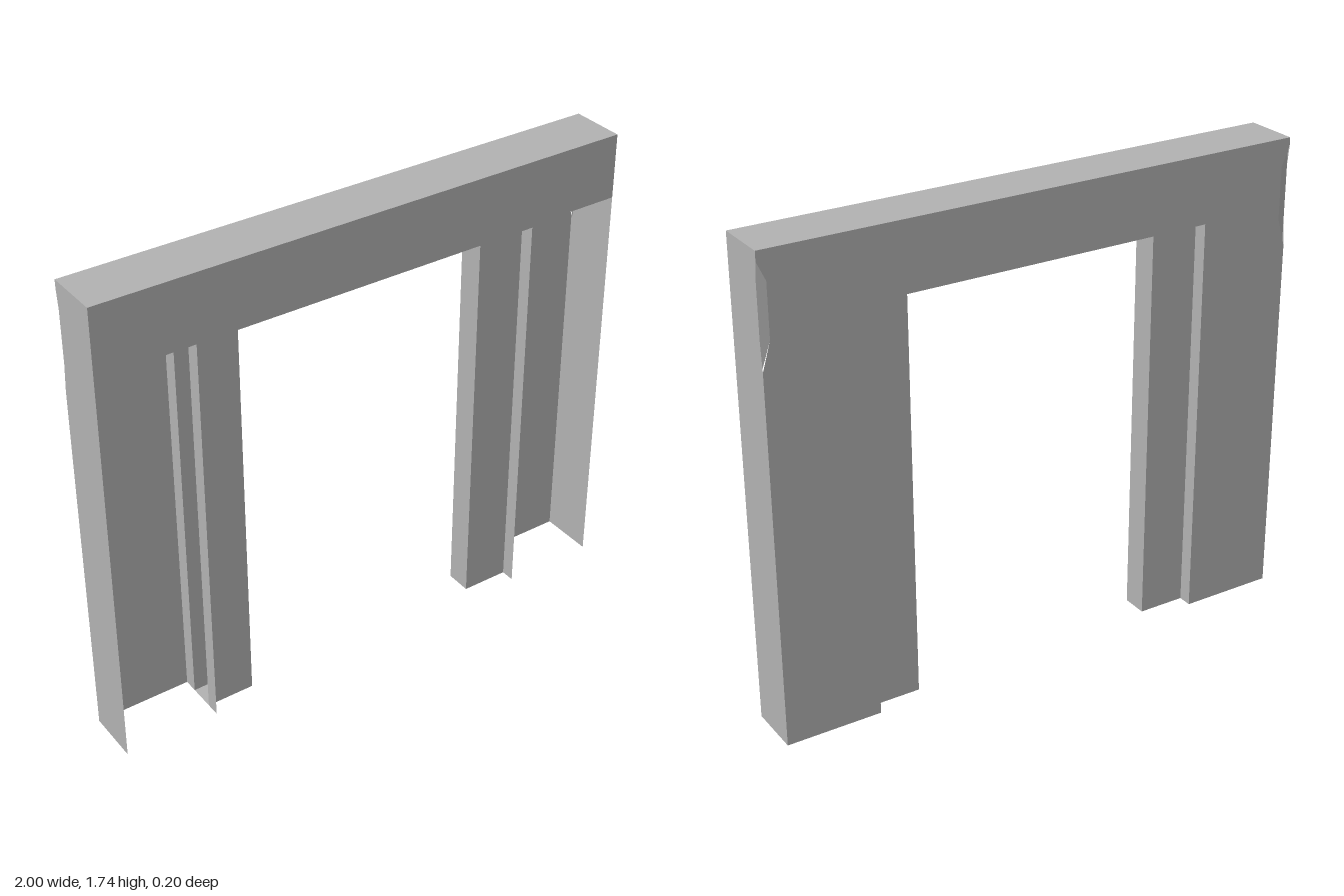
import * as THREE from 'three';

const W = 1, H = 1.74, D = 0.1;            // half width, height, half depth
const JAMB = 0.65, REVEAL = 0.473;         // opening edge and inner face of the posts
const SOFFIT = 1.495, POST = 0.048;        // underside height, half depth of the posts
const DENT = [[0, 1.35], [1, 1.45], [1, 1.64], [0, 1.71]]; // worn rear corner: depth factor, height
const DENT_X = 0.03, DENT_Z = 0.008;

export function createModel() {
  const group = new THREE.Group();
  group.name = 'doorFrame';
  const grey = new THREE.MeshStandardMaterial({ color: 0xb2b2b2, side: THREE.DoubleSide });
  grey.name = 'grey';

  // Flat sheet: a 2D outline placed in space by a mapping rule
  function sheet(name, outline, place) {
    const geo = new THREE.ShapeGeometry(new THREE.Shape(outline.map(([a, b]) => new THREE.Vector2(a, b))));
    const pos = geo.attributes.position;
    for (let i = 0; i < pos.count; i++) pos.setXYZ(i, ...place(pos.getX(i), pos.getY(i)));
    geo.computeVertexNormals();
    const mesh = new THREE.Mesh(geo, grey);
    mesh.name = name;
    group.add(mesh);
  }
  const rect = (a0, b0, a1, b1) => [[a0, b0], [a1, b0], [a1, b1], [a0, b1]];
  const atZ = (z, s = 1) => (a, b) => [s * a, b, z];
  const atX = (x) => (a, b) => [x, b, a];
  const atY = (y, s = 1) => (a, b) => [s * a, y, b];

  // Lintel: front fascia with a slightly uneven lower edge, top and underside
  sheet('lintelFront', [[-W, 1.505], [-0.9, 1.503], [-0.8, SOFFIT], [0.66, SOFFIT], [0.72, 1.505],
    [W, 1.505], [W, H], [-W, H]], atZ(D));
  sheet('lintelTop', rect(-W, -D, W, D), atY(H));
  sheet('soffit', rect(-JAMB, -D, JAMB, D), atY(SOFFIT));

  // Back panel around the opening, notched at the worn corners
  const half = [[JAMB, SOFFIT], [JAMB, 0], [W, 0], ...DENT.map(([k, y]) => [W - k * DENT_X, y]), [W, H]];
  sheet('backPanel', [...half, ...half.slice().reverse().map(([x, y]) => [-x, y])], atZ(-D));

  for (const s of [1, -1]) {
    const side = s > 0 ? 'left' : 'right';

    // Outer wall and the chamfer that closes its worn rear corner
    sheet(side + 'OuterWall', [[D, 0], [D, H], [-D, H],
      ...DENT.slice().reverse().map(([k, y]) => [-D + k * DENT_Z, y]), [-D, 0]], atX(s * W));
    sheet(side + 'WornCorner', [[0, DENT[0][1]], [0, DENT[1][1]], [0, DENT[2][1]], [0, DENT[3][1]],
      [1, DENT[2][1]], [1, DENT[1][1]]],
    (t, y) => {
      const k = y === DENT[0][1] || y === DENT[3][1] ? 0 : 1;
      return [s * (W - k * t * DENT_X), y, -D + k * (1 - t) * DENT_Z];
    });

    // Narrow returns in front of and behind the post
    sheet(side + 'FrontReturn', rect(POST, 0, D, SOFFIT), atX(s * JAMB));
    sheet(side + 'BackReturn', rect(-D, 0, -POST, SOFFIT), atX(s * JAMB));

    // Post: channel open towards the outer wall, closed at the foot
    sheet(side + 'PostFront', rect(REVEAL, 0, JAMB, SOFFIT), atZ(POST, s));
    sheet(side + 'PostBack', rect(REVEAL, 0, JAMB, SOFFIT), atZ(-POST, s));
    sheet(side + 'PostReveal', rect(-POST, 0, POST, SOFFIT), atX(s * REVEAL));
    sheet(side + 'PostFoot', rect(REVEAL, -POST, JAMB, POST), atY(0, s));
  }
  return group;
}
